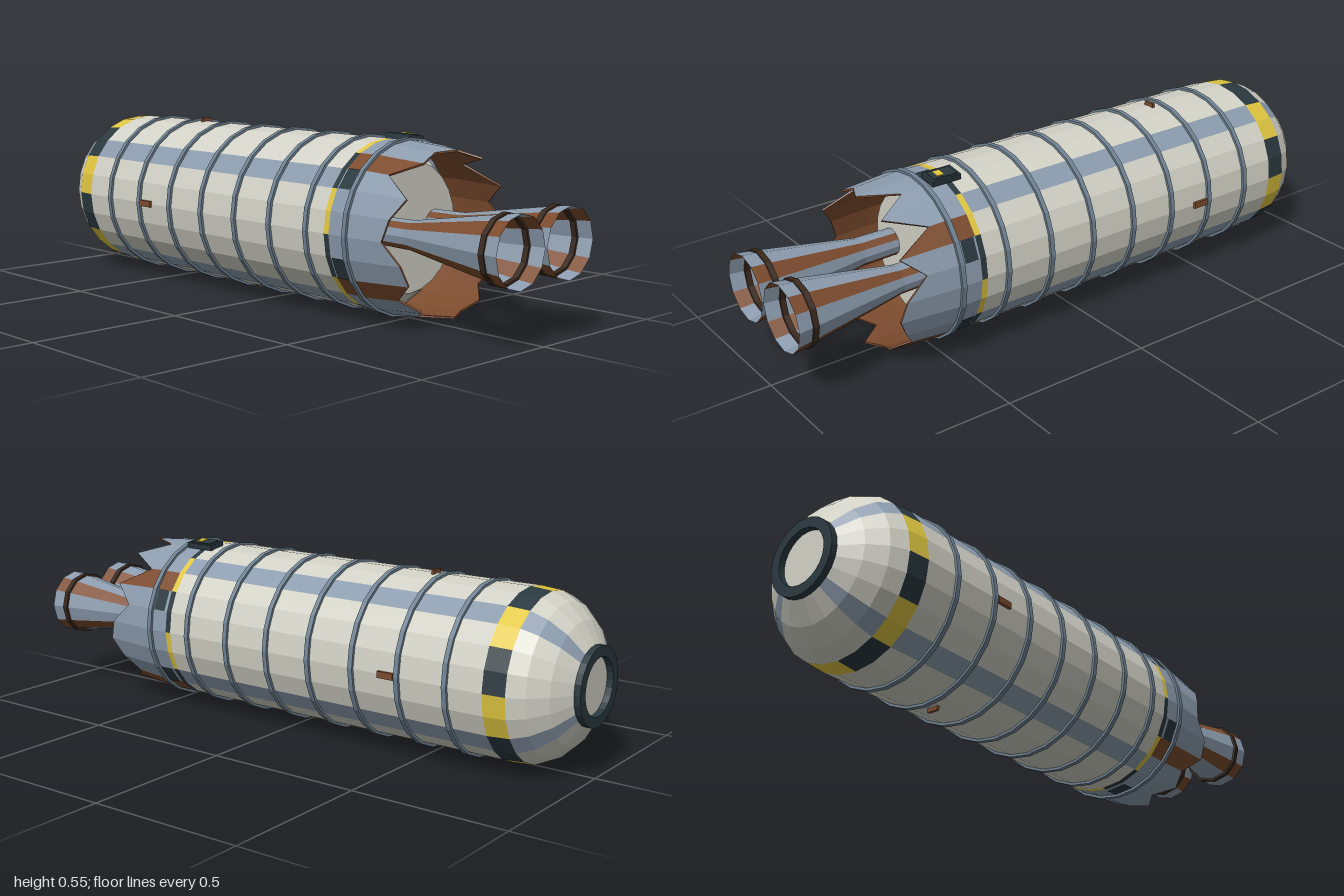
import * as THREE from 'three';

const paint = (name, color) => new THREE.MeshStandardMaterial({ name, color, side: THREE.DoubleSide });
const CREAM = 0, SLATE = 1, DARK = 2, YELLOW = 3, RUST = 4, SOOT = 5, STEEL = 6;
const R = 0.262, SIDES = 24, AXIS_Y = 0.273;

export function createModel() {
  const mats = [
    paint('cream panel', 0xd2d2c7), paint('slate panel', 0x8c9cae), paint('dark trim', 0x2a393f),
    paint('hazard yellow', 0xe0c640), paint('rust', 0x7d4c2e), paint('soot brown', 0x39281d),
    paint('steel', 0x708393),
  ];
  const root = new THREE.Group();
  root.name = 'rocketStage';
  const stage = new THREE.Group();
  stage.name = 'stage';
  stage.position.y = AXIS_Y;
  root.add(stage);

  // Faceted shell around z: profile(k) gives [radius, z] points for corner k,
  // pick(k, row) gives the colour of a facet, or -1 to leave it out.
  function shell(name, n, profile, pick, parent = stage) {
    const buckets = mats.map(() => []);
    const at = (k, [r, z]) => {
      const a = (k / n) * Math.PI * 2;
      return [r * Math.sin(a), r * Math.cos(a), z];
    };
    for (let k = 0; k < n; k++) {
      const p = profile(k), q = profile((k + 1) % n);
      for (let row = 0; row + 1 < p.length; row++) {
        const c = pick(k, row);
        if (c < 0) continue;
        const a = at(k, p[row]), b = at(k, p[row + 1]);
        const d = at(k + 1, q[row]), e = at(k + 1, q[row + 1]);
        buckets[c].push(...a, ...b, ...e, ...a, ...e, ...d);
      }
    }
    const geo = new THREE.BufferGeometry();
    geo.setAttribute('position', new THREE.Float32BufferAttribute(buckets.flat(), 3));
    let start = 0;
    buckets.forEach((b, i) => {
      if (b.length) geo.addGroup(start, b.length / 3, i);
      start += b.length / 3;
    });
    geo.computeVertexNormals();
    const mesh = new THREE.Mesh(geo, mats);
    mesh.name = name;
    parent.add(mesh);
    return mesh;
  }

  // Closed square-section hoop
  const hoop = (name, n, rIn, rOut, z, w, color, parent) => shell(name, n,
    () => [[rIn, z - w / 2], [rOut, z - w / 2], [rOut, z + w / 2], [rIn, z + w / 2], [rIn, z - w / 2]],
    () => color, parent);

  function box(name, w, h, d, x, y, z, color, parent = stage) {
    const mesh = new THREE.Mesh(new THREE.BoxGeometry(w, h, d), mats[color]);
    mesh.name = name;
    mesh.position.set(x, y, z);
    parent.add(mesh);
    return mesh;
  }

  const panel = k => (k % 6 === 2 ? SLATE : CREAM);
  const checker = k => (Math.floor(k / 2) % 2 ? YELLOW : DARK);

  // Tank, rounded tail and the recessed bulkhead behind the engines
  const tank = [[0, -0.98], [0.12, -0.98], [0.185, -0.94], [0.232, -0.89], [0.256, -0.84],
    [R, -0.77], [R, 0.4], [R, 0.42], [0.25, 0.43], [0.2, 0.5], [0, 0.5]];
  shell('tank', SIDES, () => tank, (k, row) => {
    if (row === 4 || row === 6) return checker(k);
    return row === 0 || row === 9 ? CREAM : panel(k);
  });
  hoop('dockingRing', SIDES, 0.088, 0.12, -0.986, 0.028, DARK);

  // Hoops along the tank
  for (let i = 0; i < 8; i++) hoop('tankHoop', SIDES, 0.255, 0.27, -0.65 + i * 0.1625, 0.016, STEEL);

  // Torn skirt with a rust-coloured lining
  const torn = [0.68, 0.565, 0.67, 0.55, 0.67, 0.6, 0.67, 0.69, 0.66, 0.62, 0.67, 0.65,
    0.68, 0.6, 0.66, 0.62, 0.69, 0.68, 0.62, 0.64, 0.68, 0.58, 0.66, 0.65];
  shell('tornSkirt', SIDES, k => {
    const tip = torn[k], r = R - (tip - 0.5) * 0.08;
    return [[R, 0.42], [R, 0.5], [r, tip], [r - 0.006, tip], [R - 0.008, 0.5], [R - 0.008, 0.43]];
  }, (k, row) => (row > 1 || k % 6 === 3 ? RUST : SLATE));

  // Dark vents around the skirt root
  shell('skirtVents', SIDES, () => [[R + 0.003, 0.428], [R + 0.003, 0.474]],
    k => (k % 4 === 0 ? DARK : -1));

  // Pair of flared engine bells
  for (const side of [-1, 1]) {
    const engine = new THREE.Group();
    engine.name = side > 0 ? 'leftEngine' : 'rightEngine';
    engine.position.set(side * 0.11, 0.003, 0);
    stage.add(engine);
    shell('engineBell', 12, () => [[0.043, 0.5], [0.045, 0.62], [0.099, 0.945], [0.106, 1]],
      k => (k % 3 === 1 ? RUST : SLATE), engine);
    hoop('bellHoop', 12, 0.093, 0.105, 0.945, 0.018, SOOT, engine);
  }

  // Four rust lugs around the tank
  for (let i = 0; i < 4; i++) {
    const pivot = new THREE.Group();
    pivot.name = 'lugMount';
    pivot.rotation.z = (i * Math.PI) / 2;
    stage.add(pivot);
    if (i % 2) box('sideLug', 0.02, 0.014, 0.055, 0, 0.263, -0.45, RUST, pivot);
    else box('lug', 0.038, 0.018, 0.01, 0, 0.264, -0.45, RUST, pivot);
  }

  // Control box with a yellow lamp
  const control = new THREE.Group();
  control.name = 'controlBox';
  control.position.set(0.057, 0.262, 0.42);
  control.rotation.z = -0.13;
  stage.add(control);
  box('controlCase', 0.062, 0.018, 0.1, 0, 0, 0, DARK, control);
  box('controlLid', 0.046, 0.006, 0.08, 0, 0.009, 0, DARK, control);
  box('lamp', 0.03, 0.004, 0.024, 0, 0.013, 0.012, YELLOW, control);

  return root;
}
